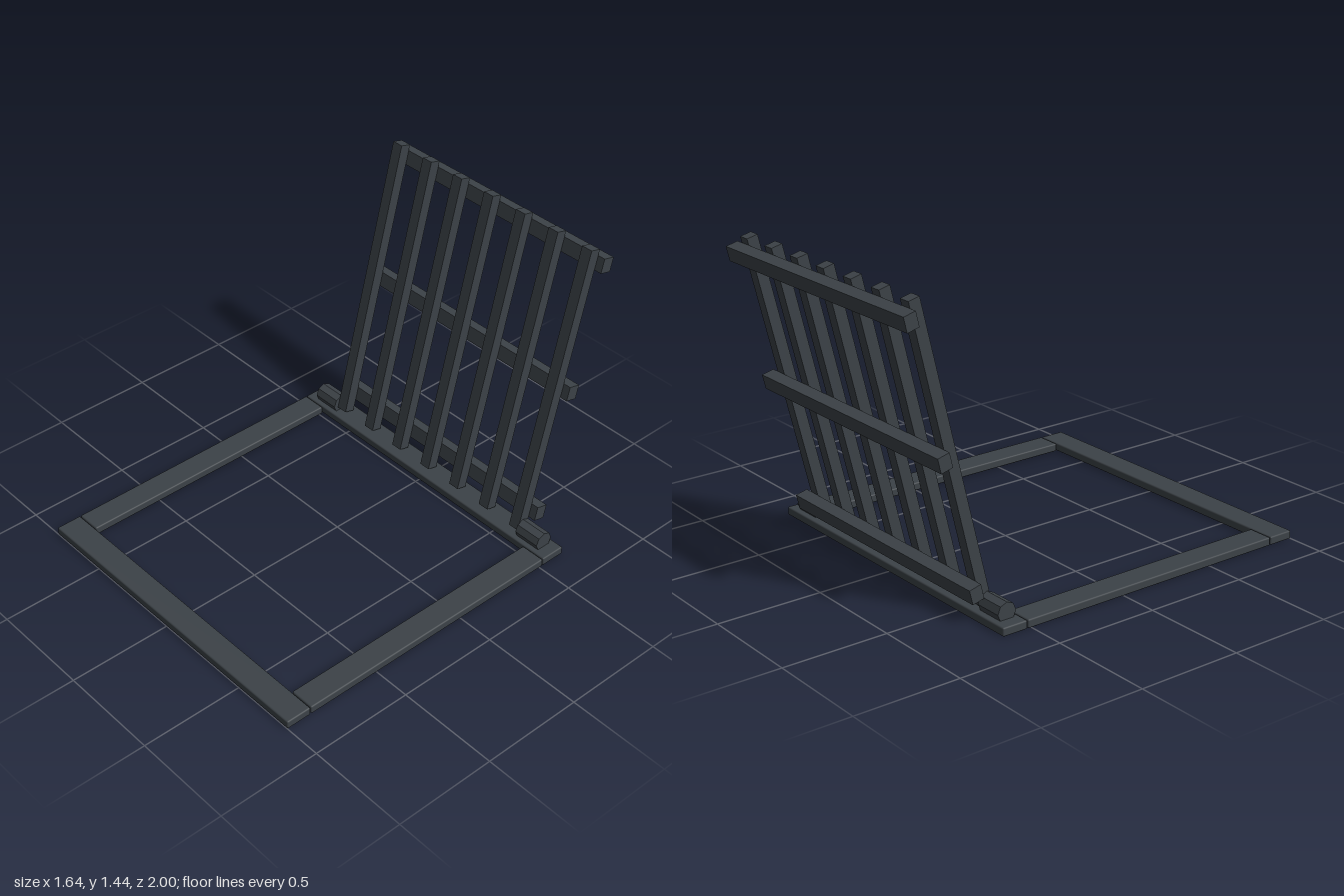
import * as THREE from 'three';
import { RoundedBoxGeometry } from 'three/addons/geometries/RoundedBoxGeometry.js';

const iron = new THREE.MeshStandardMaterial({ color: 0x3c4247 });
iron.name = 'dark iron';

function add(parent, name, geometry, x, y, z) {
  const mesh = new THREE.Mesh(geometry, iron);
  mesh.name = name;
  mesh.position.set(x, y, z);
  parent.add(mesh);
  return mesh;
}

export function createModel() {
  const model = new THREE.Group();
  model.name = 'openFloorGrate';

  // Flat frame lying on the ground, with softened edges
  const frame = new THREE.Group();
  frame.name = 'frame';
  model.add(frame);
  const rail = (w, d) => new RoundedBoxGeometry(w, 0.04, d, 2, 0.007);
  add(frame, 'frontRail', rail(1.64, 0.126), 0, 0.02, 0.937);
  add(frame, 'backRail', rail(1.64, 0.126), 0, 0.02, -0.585);
  for (const s of [-1, 1]) {
    add(frame, s > 0 ? 'leftRail' : 'rightRail', rail(0.124, 1.388), s * 0.758, 0.02, 0.176);
  }

  // Hinge barrels at both ends of the back rail
  for (const s of [-1, 1]) {
    const barrel = new THREE.CylinderGeometry(0.047, 0.047, 0.134, 8).toNonIndexed();
    barrel.computeVertexNormals();
    barrel.rotateZ(Math.PI / 2);
    add(model, s > 0 ? 'leftHinge' : 'rightHinge', barrel, s * 0.693, 0.07, -0.583);
  }

  // Raised grate leaning back
  const grate = new THREE.Group();
  grate.name = 'grate';
  grate.position.set(0, 0.745, -0.754);
  grate.rotation.x = -THREE.MathUtils.degToRad(14);
  model.add(grate);

  const bar = new THREE.BoxGeometry(0.056, 1.42, 0.054);
  for (let i = -3; i <= 3; i++) add(grate, 'uprightBar', bar, i * 0.198, 0, 0);

  const crossBar = new THREE.BoxGeometry(1.32, 0.07, 0.06);
  for (const y of [-0.615, 0.015, 0.645]) add(grate, 'crossBar', crossBar, 0, y, -0.057);

  return model;
}
